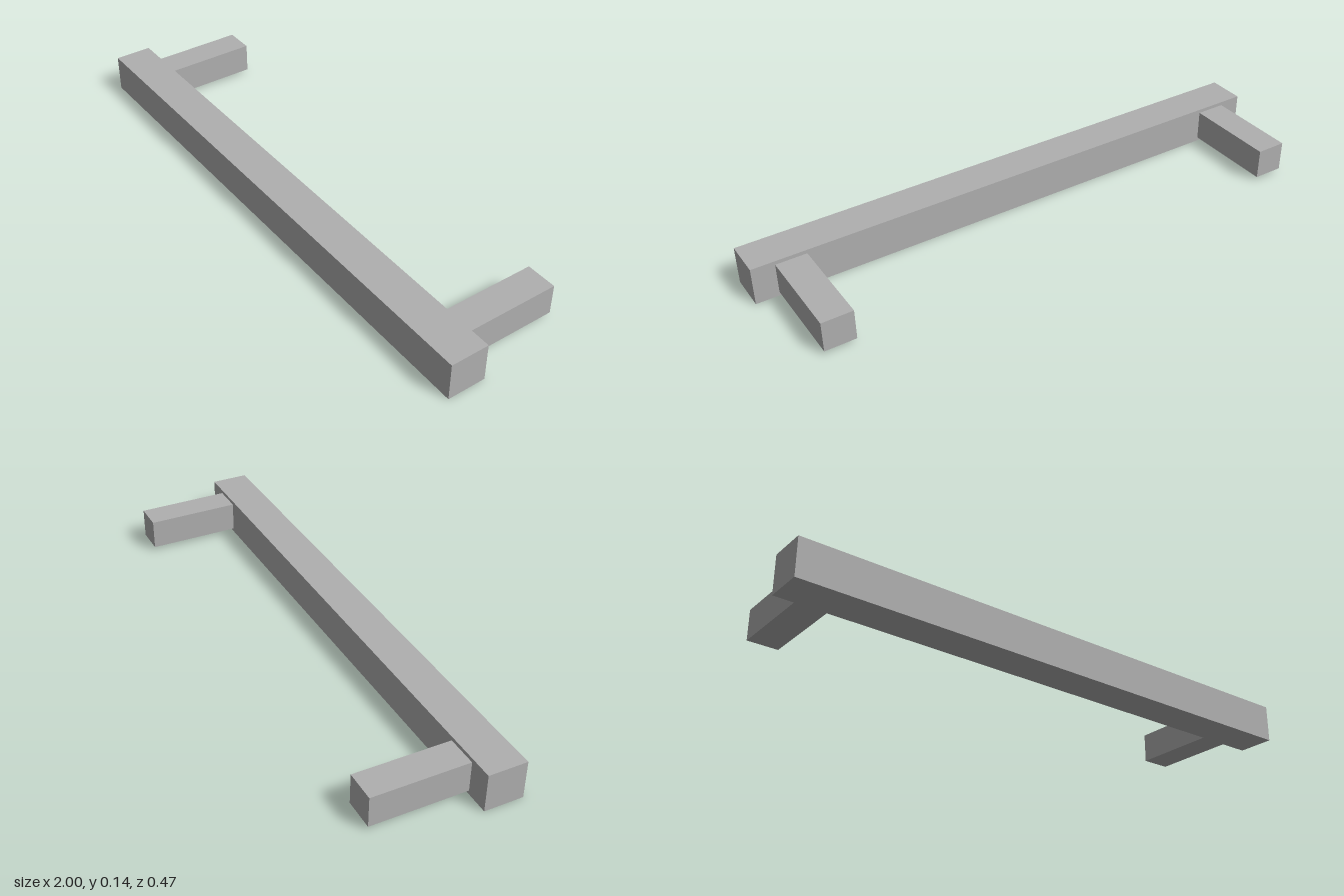
import * as THREE from 'three';

export function createModel() {
  const model = new THREE.Group();
  model.name = 'barHandle';

  const greyMetal = new THREE.MeshStandardMaterial({ color: 0xb0b0b0 });
  greyMetal.name = 'grey metal';

  const addBox = (name, size, position) => {
    const mesh = new THREE.Mesh(new THREE.BoxGeometry(...size), greyMetal);
    mesh.name = name;
    mesh.position.set(...position);
    model.add(mesh);
  };

  // Square grip bar across the front
  const bar = 0.136, depth = 0.474, post = 0.109;
  addBox('gripBar', [2, bar, bar], [0, bar / 2, (depth - bar) / 2]);

  // Slimmer square posts reaching back to the mounting face
  const postLength = depth - bar;
  for (const [name, side] of [['leftPost', 1], ['rightPost', -1]]) {
    addBox(name, [post, post, postLength], [side * 0.864, bar / 2, (postLength - depth) / 2]);
  }

  return model;
}
